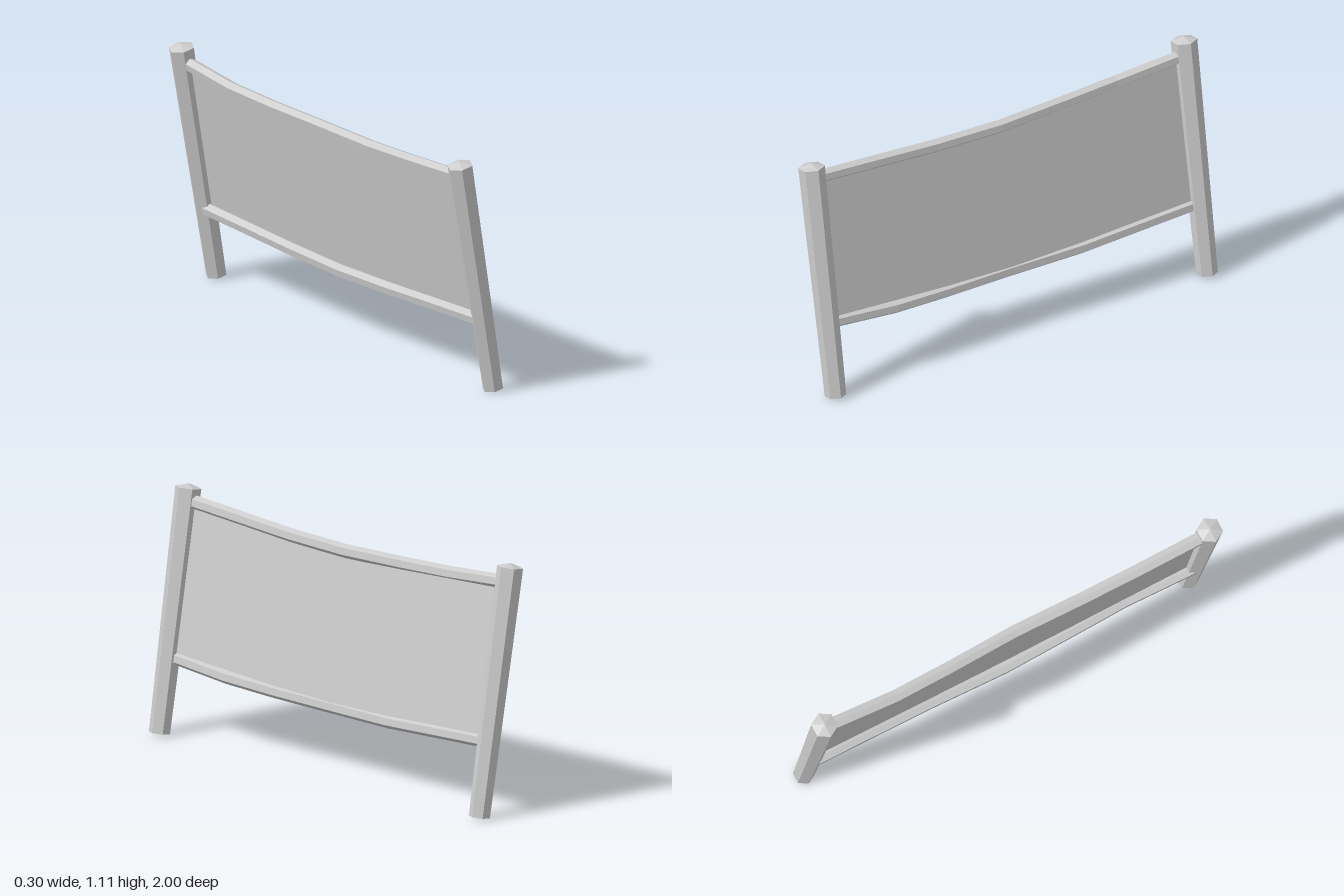
import * as THREE from 'three';

const grey = new THREE.MeshStandardMaterial({ color: 0xcccccc, side: THREE.DoubleSide });
grey.name = 'plain grey';

const LEAN = 0.175; // sideways lean in radians

function facetedMesh(geometry, name) {
  const flat = geometry.index ? geometry.toNonIndexed() : geometry;
  flat.computeVertexNormals();
  const mesh = new THREE.Mesh(flat, grey);
  mesh.name = name;
  return mesh;
}

// Joins equal-length rows of points into a surface
function loft(rows, closed) {
  const n = rows[0].length;
  const index = [];
  for (let i = 0; i < rows.length - 1; i++) {
    for (let k = 0; k < (closed ? n : n - 1); k++) {
      const a = i * n + k, b = i * n + (k + 1) % n;
      index.push(a, b, b + n, a, b + n, a + n);
    }
  }
  const geometry = new THREE.BufferGeometry().setFromPoints(rows.flat());
  geometry.setIndex(index);
  return geometry;
}

// Tapered six-sided post with a shallow pointed cap
function makePost(name, foot, top) {
  const axis = top.clone().sub(foot);
  const length = axis.length();
  const profile = [[0, 0], [0.047, 0], [0.058, length], [0, length + 0.018]]
    .map(([r, y]) => new THREE.Vector2(r, y));
  const post = facetedMesh(new THREE.LatheGeometry(profile, 6, Math.PI / 6), name);
  post.position.copy(foot);
  post.quaternion.setFromUnitVectors(new THREE.Vector3(0, 1, 0), axis.normalize());
  return post;
}

// Uneven six-sided rail through the given centres
function makeRail(name, centres) {
  const rings = centres.map((c) => Array.from({ length: 6 }, (_, k) => {
    const angle = LEAN + (k + 0.5) * Math.PI / 3;
    return new THREE.Vector3(c.x + 0.031 * Math.cos(angle), c.y + 0.031 * Math.sin(angle), c.z);
  }));
  return facetedMesh(loft(rings, true), name);
}

export function createModel() {
  const group = new THREE.Group();
  group.name = 'leaningPanelFrame';

  // Posts
  group.add(makePost('frontPost', new THREE.Vector3(0.101, 0.009, 0.943), new THREE.Vector3(-0.088, 1.075, 0.948)));
  group.add(makePost('backPost', new THREE.Vector3(0.101, 0.009, -0.947), new THREE.Vector3(-0.092, 1.095, -0.949)));

  // Rails, sagging between the posts
  const toPoints = (list) => list.map((p) => new THREE.Vector3(...p));
  const upper = toPoints([
    [-0.079, 1.028, -0.94], [-0.09, 0.998, -0.6], [-0.082, 0.988, -0.33], [-0.068, 0.982, 0],
    [-0.075, 0.986, 0.33], [-0.08, 1.0, 0.6], [-0.082, 1.02, 0.94],
  ]);
  const lower = toPoints([
    [0.032, 0.332, -0.94], [0.034, 0.322, -0.7], [0.036, 0.306, -0.35], [0.027, 0.303, 0],
    [0.036, 0.308, 0.33], [0.043, 0.318, 0.6], [0.028, 0.34, 0.94],
  ]);
  group.add(makeRail('upperRail', upper));
  group.add(makeRail('lowerRail', lower));

  // Thin flat panel stretched on the leaning plane between the rails
  const onPlane = (p) => new THREE.Vector3(0.1 - (p.y - 0.01) * Math.tan(LEAN), p.y, p.z);
  const strips = upper.map((p, i) => [onPlane(lower[i]), onPlane(p)]);
  group.add(facetedMesh(loft(strips, false), 'panel'));

  return group;
}
